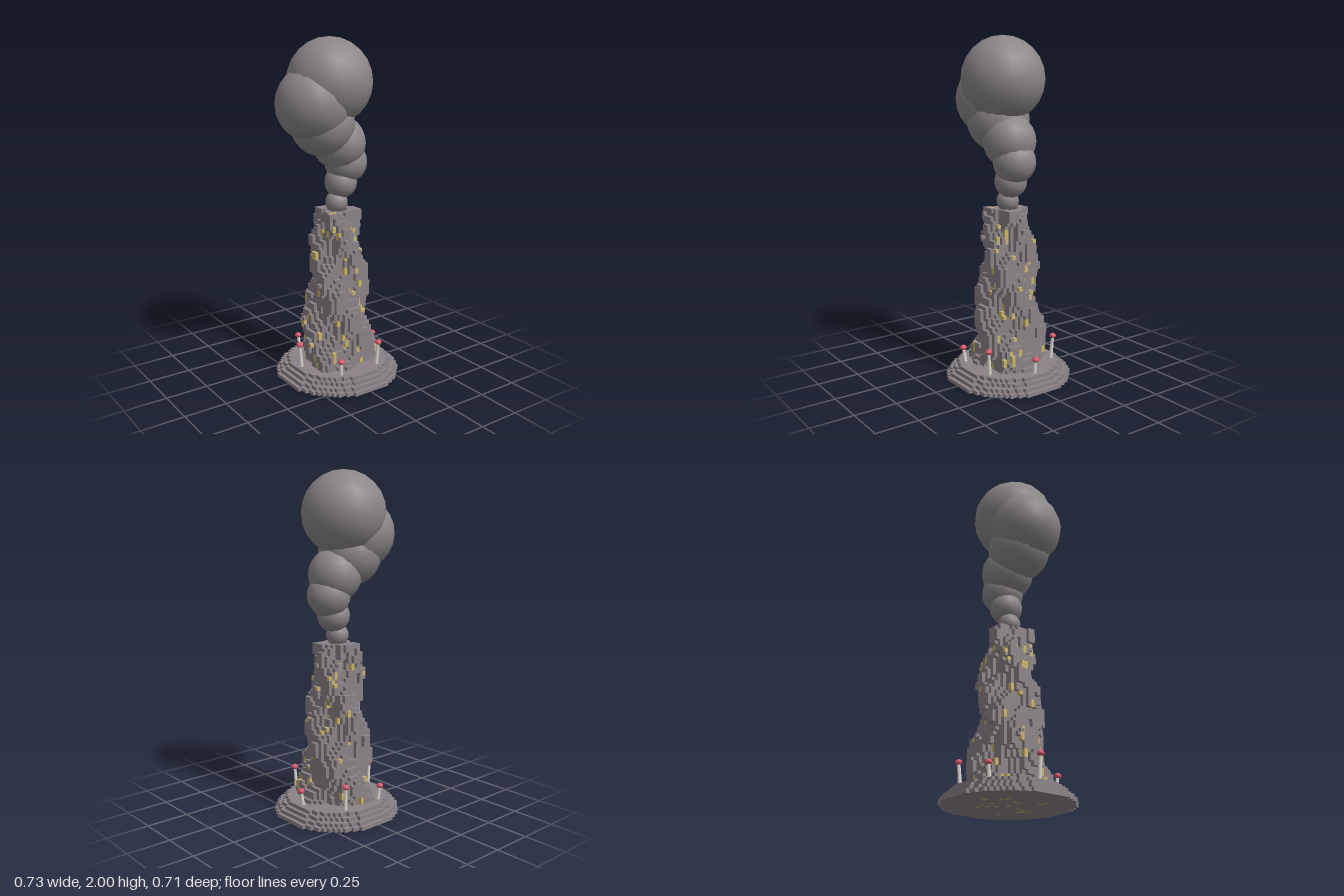
import * as THREE from 'three';

const V = 0.0216;      // voxel size
const CX = 0.011;      // axis of the chimney
const LAYERS = 47;

const mat = (name, color) => {
  const m = new THREE.MeshStandardMaterial({ color });
  m.name = name;
  return m;
};

// Seeded hash of a cell, 0..1
function hash(i, j, k) {
  let h = (i * 374761393 + j * 668265263 + k * 1274126177) | 0;
  h = Math.imul(h ^ (h >>> 13), 1274126177);
  h = Math.imul(h ^ (h >>> 15), 2246822519);
  return ((h ^ (h >>> 16)) >>> 0) / 4294967296;
}

// Tapering chimney with three twisting ridges and an open mouth
function inChimney(i, j, k) {
  if (j < 0 || j >= LAYERS) return false;
  const d = Math.hypot(i, k), a = Math.atan2(k, i);
  if (j >= LAYERS - 3 && d < 2.3) return false;
  const r = 9.9 - 0.108 * j
    + 1.25 * Math.cos(3 * a - 0.3 * (j - 42.3))
    + 0.45 * Math.sin(7 * a + 0.5 * j);
  return d <= r;
}

// Stepped round foot
const inFoot = (i, j, k) => j >= 0 && j < 4 && Math.hypot(i, k) <= 16.85 - j;
const solid = (i, j, k) => inFoot(i, j, k) || inChimney(i, j, k);

// Exposed faces of every filled cell that belongs to the chosen material
function voxelGeometry(belongs) {
  const pos = [], nor = [], idx = [];
  for (let j = 0; j < LAYERS; j++)
    for (let i = -17; i <= 17; i++)
      for (let k = -17; k <= 17; k++) {
        if (!solid(i, j, k) || !belongs(i, j, k)) continue;
        for (let axis = 0; axis < 3; axis++)
          for (const s of [1, -1]) {
            const n = [0, 0, 0];
            n[axis] = s;
            if (solid(i + n[0], j + n[1], k + n[2])) continue;
            const u = (axis + 1) % 3, w = (axis + 2) % 3, b = pos.length / 3;
            for (const [p, q] of [[-1, -1], [1, -1], [1, 1], [-1, 1]]) {
              const c = [i, j + 0.5, k];
              c[axis] += s / 2;
              c[u] += p / 2;
              c[w] += (q * s) / 2;
              pos.push(CX + c[0] * V, c[1] * V, c[2] * V);
              nor.push(...n);
            }
            idx.push(b, b + 1, b + 2, b, b + 2, b + 3);
          }
      }
  const g = new THREE.BufferGeometry();
  g.setAttribute('position', new THREE.Float32BufferAttribute(pos, 3));
  g.setAttribute('normal', new THREE.Float32BufferAttribute(nor, 3));
  g.setIndex(idx);
  return g;
}

export function createModel() {
  const rock = mat('rock', 0x8a8286);
  const mineral = mat('yellow mineral', 0xc9b468);
  const smoke = mat('smoke', 0x8b8688);
  const tube = mat('pale tube', 0xdedad2);
  const plume = mat('red plume', 0xd9556a);

  const model = new THREE.Group();
  model.name = 'smokingVent';
  const add = (parent, name, geometry, material) => {
    const m = new THREE.Mesh(geometry, material);
    m.name = name;
    parent.add(m);
    return m;
  };

  // Rock chimney with mineral flecks, two cells tall
  const isFleck = (i, j, k) => inChimney(i, j, k) && hash(i, j >> 1, k) < 0.06;
  add(model, 'chimneyRock', voxelGeometry((i, j, k) => !isFleck(i, j, k)), rock);
  add(model, 'mineralFlecks', voxelGeometry(isFleck), mineral);

  // Swaying smoke column of growing puffs
  const smokeColumn = new THREE.Group();
  smokeColumn.name = 'smokeColumn';
  model.add(smokeColumn);
  [0.005, 0.035, 0.07, 0.022, -0.09, -0.152, -0.043].forEach((x, n) => {
    const puff = add(smokeColumn, 'smokePuff', new THREE.SphereGeometry(0.066 + 0.0298 * n, 16, 12), smoke);
    puff.position.set(x, 1.06 + 0.1158 * n, 0);
  });

  // Ring of six tube worms, short and tall in turn, leaning outward
  for (let n = 0; n < 6; n++) {
    const worm = new THREE.Group();
    worm.name = 'tubeWorm';
    const a = (n * Math.PI) / 3, h = n % 2 ? 0.145 : 0.09;
    worm.position.set(CX + 0.258 * Math.cos(a), 0.083, 0.258 * Math.sin(a));
    worm.rotation.set(0, -a, 0);
    const lean = new THREE.Group();
    lean.name = 'wormBody';
    lean.rotation.z = -Math.atan2(0.012, h);
    worm.add(lean);
    add(lean, 'wormTube', new THREE.CylinderGeometry(0.009, 0.012, h, 8), tube).position.y = h / 2;
    const tip = add(lean, 'wormPlume', new THREE.SphereGeometry(0.02, 12, 8), plume);
    tip.position.y = h;
    tip.scale.y = 0.8;
    model.add(worm);
  }
  return model;
}
